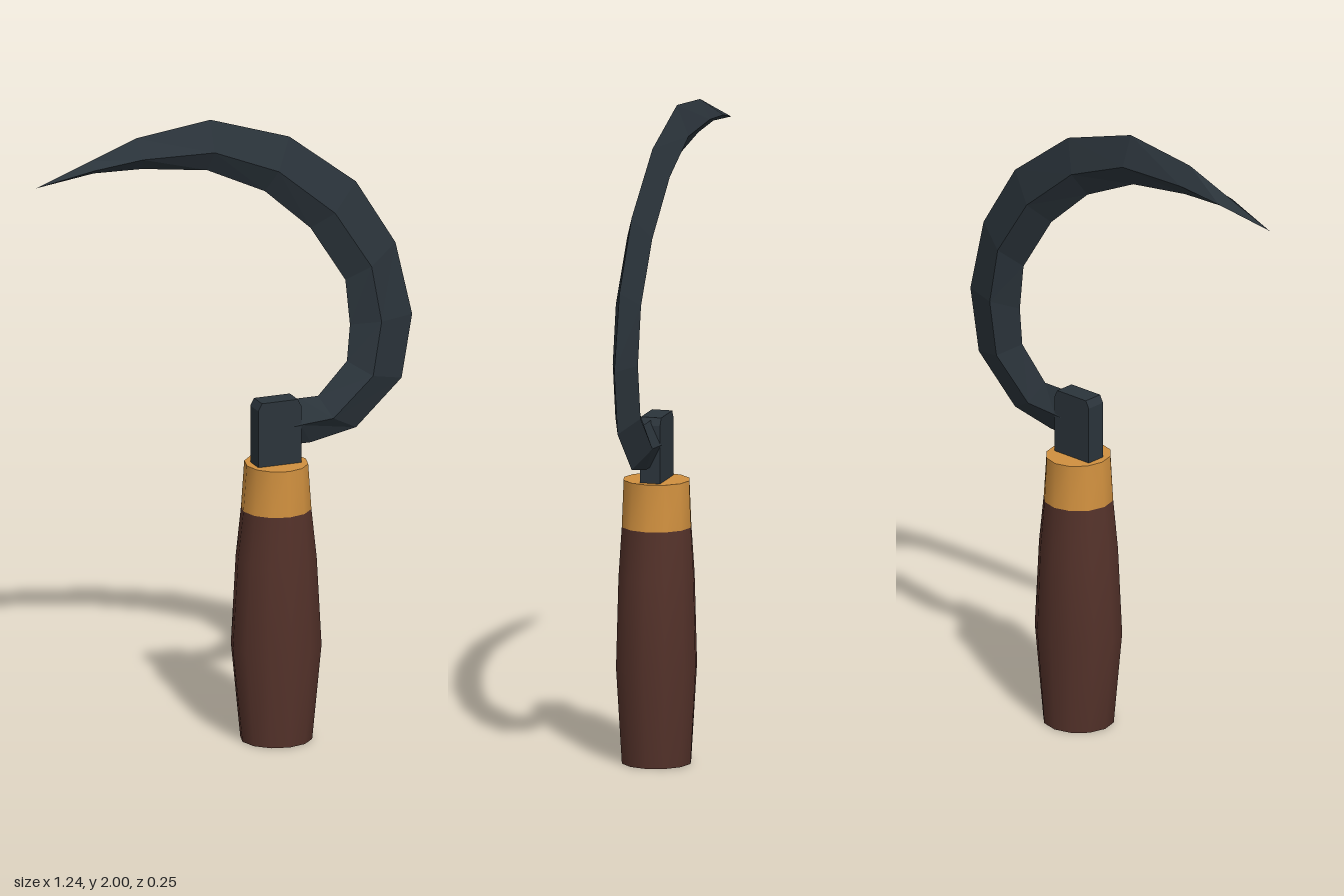
import * as THREE from 'three';
import { toCreasedNormals } from 'three/addons/utils/BufferGeometryUtils.js';

// Skin a list of closed rings (each an array of [x, y, z]) and cap both ends.
function loft(rings) {
  const n = rings[0].length;
  const index = [];
  for (let r = 0; r < rings.length - 1; r++) {
    for (let i = 0; i < n; i++) {
      const a = r * n + i, b = r * n + (i + 1) % n;
      index.push(a, a + n, b, b, a + n, b + n);
    }
  }
  const last = (rings.length - 1) * n;
  for (let i = 1; i < n - 1; i++) {
    index.push(0, i, i + 1, last, last + i + 1, last + i);
  }
  const geometry = new THREE.BufferGeometry();
  geometry.setAttribute('position', new THREE.Float32BufferAttribute(rings.flat(2), 3));
  geometry.setIndex(index);
  return geometry;
}

// Twelve-sided oval ring of the grip at height y.
const GRIP_X = 0.172;
function oval([y, rx, rz]) {
  return Array.from({ length: 12 }, (_, i) => {
    const a = (i / 12) * Math.PI * 2;
    return [GRIP_X + rx * Math.cos(a), y, rz * Math.sin(a)];
  });
}

export function createModel() {
  const model = new THREE.Group();
  const steel = new THREE.MeshStandardMaterial({ color: 0x2b343b, flatShading: true });
  const wood = new THREE.MeshStandardMaterial({ color: 0x54322a });
  const brass = new THREE.MeshStandardMaterial({ color: 0xd0903f });

  const add = (name, geometry, material) => {
    const mesh = new THREE.Mesh(geometry, material);
    mesh.name = name;
    model.add(mesh);
  };

  // Wooden handle and its collar: [height, half width, half depth]
  const handle = [[0, 0.111, 0.108], [0.3, 0.143, 0.124], [0.58, 0.126, 0.118], [0.735, 0.108, 0.109]];
  const collar = [[0.735, 0.108, 0.109], [0.88, 0.097, 0.104]];
  add('handle', toCreasedNormals(loft(handle.map(oval)), 0.7), wood);
  add('collar', toCreasedNormals(loft(collar.map(oval)), 0.7), brass);

  // Upright tang with clipped top corners
  const outline = new THREE.Shape([
    [0.1, 0.86], [0.242, 0.86], [0.242, 1.06], [0.23, 1.083], [0.112, 1.083], [0.1, 1.06],
  ].map(([x, y]) => new THREE.Vector2(x, y)));
  const tang = new THREE.ExtrudeGeometry(outline, { depth: 0.064, bevelEnabled: false });
  tang.translate(0, 0, -0.032);
  add('tang', tang, steel);

  // Curved blade, diamond section: outer x y, ridge x y, inner x y, half thickness
  const stations = [
    [0.2, 0.93, 0.17, 0.99, 0.2, 1.075, 0.029],
    [0.285, 0.93, 0.24, 1.0, 0.25, 1.075, 0.034],
    [0.435, 0.96, 0.345, 1.01, 0.31, 1.075, 0.039],
    [0.585, 1.1, 0.475, 1.13, 0.405, 1.175, 0.04],
    [0.62, 1.3, 0.503, 1.3, 0.415, 1.29, 0.04],
    [0.565, 1.535, 0.47, 1.48, 0.4, 1.435, 0.04],
    [0.435, 1.745, 0.35, 1.665, 0.285, 1.615, 0.04],
    [0.215, 1.915, 0.165, 1.82, 0.135, 1.75, 0.04],
    [-0.045, 2.0, -0.045, 1.905, -0.055, 1.84, 0.037],
    [-0.29, 1.97, -0.28, 1.91, -0.27, 1.87, 0.034],
    [-0.44, 1.915, -0.437, 1.893, -0.43, 1.875, 0.03],
    [-0.62, 1.85, -0.62, 1.85, -0.62, 1.85, 0],
  ];
  const blade = loft(stations.map(([ox, oy, rx, ry, ix, iy, t]) =>
    [[ox, oy, 0], [rx, ry, t], [ix, iy, 0], [rx, ry, -t]]));
  add('blade', toCreasedNormals(blade, 0), steel);

  return model;
}
